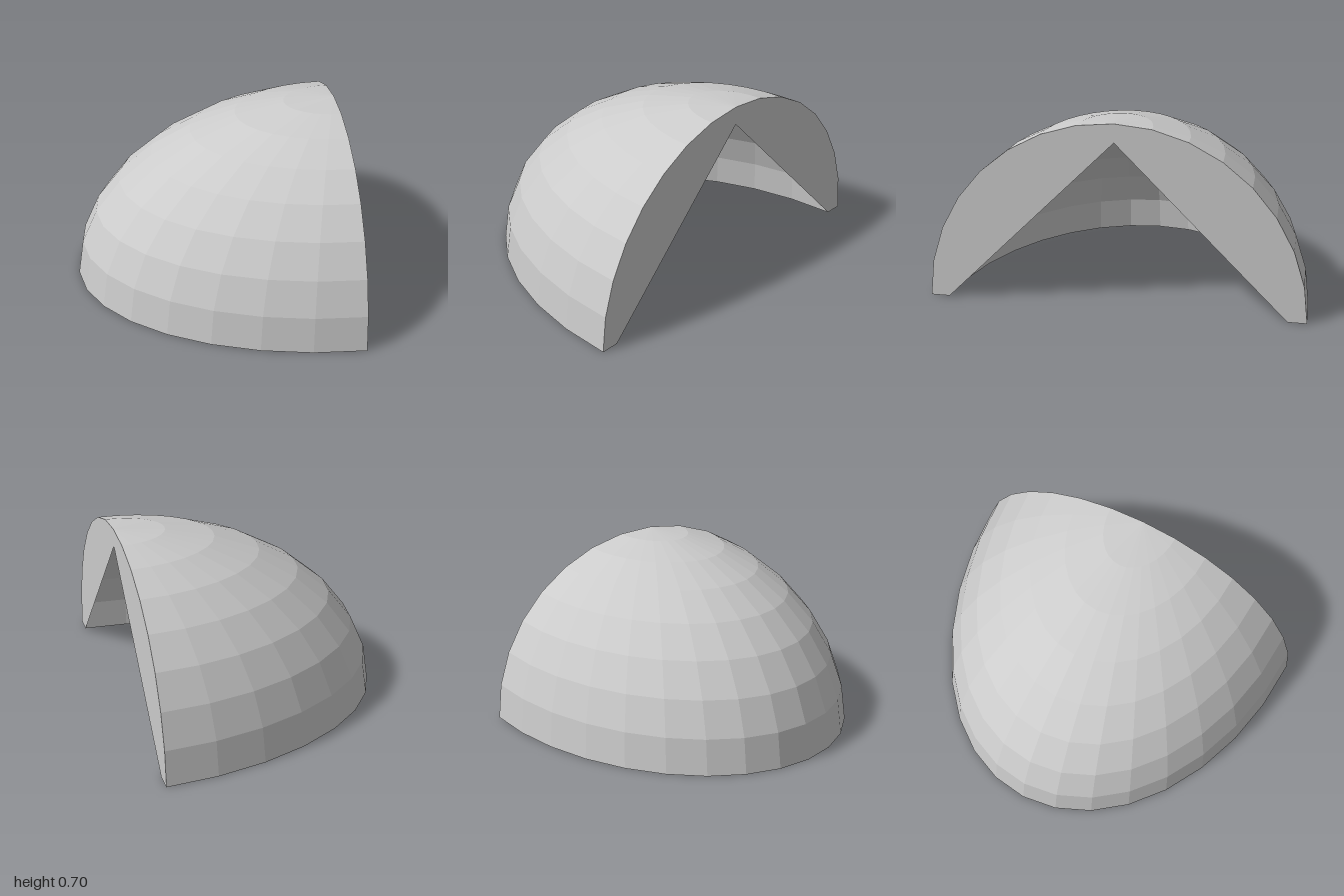
import * as THREE from 'three';

const STEPS = 16; // facets around the half turn
const OUTER = [1, 0.7, 0.7];
const INNER = [0.9, 0.63, 0.63];

export function createModel() {
  const group = new THREE.Group();
  const material = new THREE.MeshStandardMaterial({ color: 0xcccccc, flatShading: true });

  const add = (name, geometry) => {
    const mesh = new THREE.Mesh(geometry, material);
    mesh.name = name;
    group.add(mesh);
  };

  // Quarter of a faceted ellipsoid on the -x side, above the ground
  const dome = (size) => new THREE.SphereGeometry(
    1, STEPS, STEPS / 2, -Math.PI / 2, Math.PI, 0, Math.PI / 2).scale(...size);

  add('outerShell', dome(OUTER));

  // Inner wall: same form with its faces turned inwards
  const inner = dome(INNER);
  inner.index.array.reverse();
  add('innerShell', inner);

  const angles = Array.from({ length: STEPS + 1 }, (_, i) => -90 + i * 180 / STEPS);
  const point = (degrees, a, b) => {
    const t = THREE.MathUtils.degToRad(degrees);
    return new THREE.Vector2(-a * Math.cos(t), b * Math.sin(t));
  };

  // Upright face at x = 0: half disc with a triangular opening
  const face = angles.map((d) => point(d + 90, OUTER[2], OUTER[1]).setY(
    OUTER[1] * Math.max(0, Math.sin(THREE.MathUtils.degToRad(d + 90)))));
  face.push(new THREE.Vector2(INNER[2], 0), new THREE.Vector2(0, INNER[1]),
    new THREE.Vector2(-INNER[2], 0));
  add('openingFace', new THREE.ShapeGeometry(new THREE.Shape(face)).rotateY(Math.PI / 2));

  // Underside rim: curved band whose inner edge is cut straight at the far end
  const rim = angles.map((d) => point(d, OUTER[0], OUTER[2]));
  const innerAngles = [...angles.filter((d) => d < -51), -51, ...angles.filter((d) => d > 33)];
  rim.push(...innerAngles.reverse().map((d) => point(d, INNER[0], INNER[2])));
  add('bottomRim', new THREE.ShapeGeometry(new THREE.Shape(rim)).rotateX(Math.PI / 2));

  return group;
}
